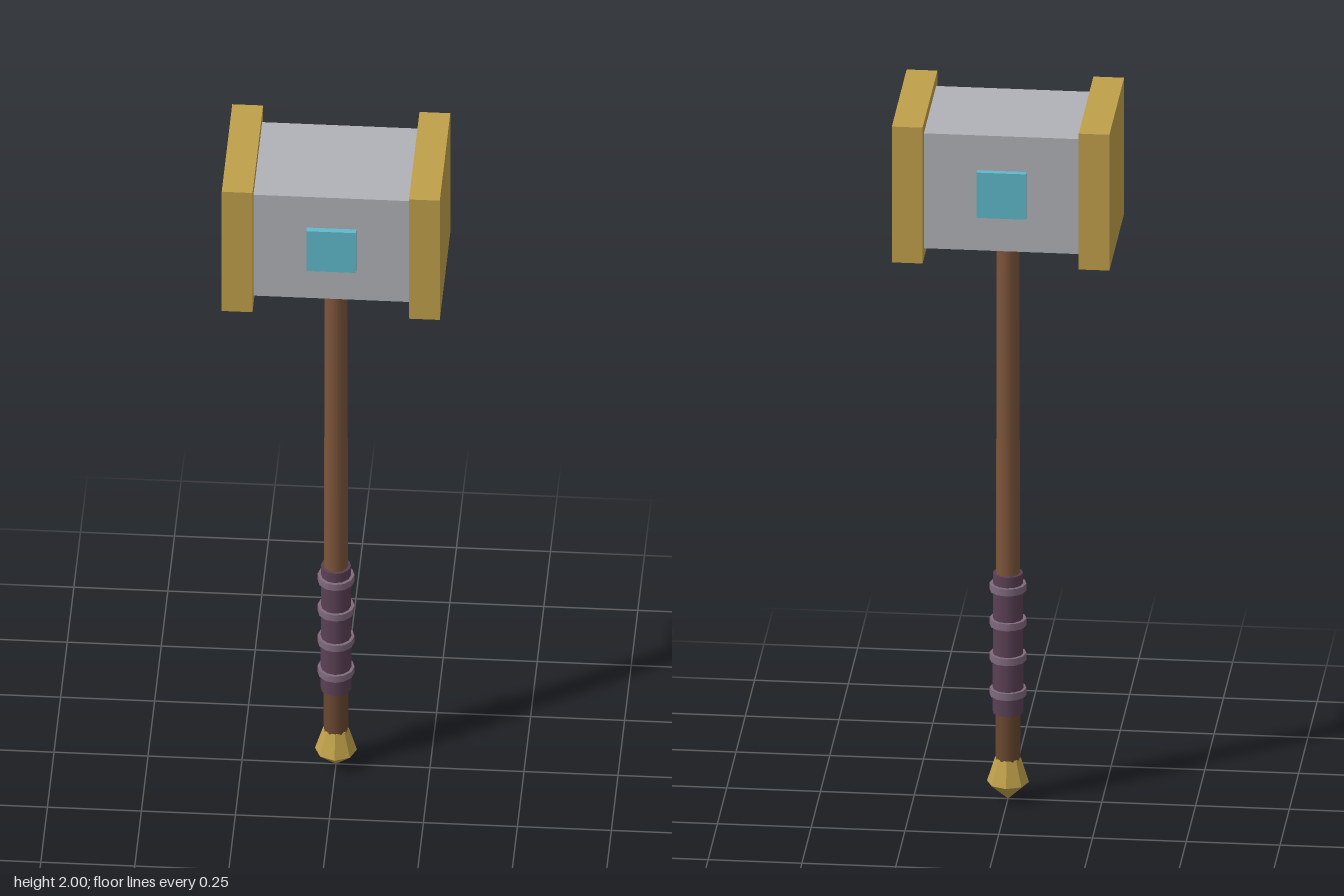
import * as THREE from 'three';

const material = (name, color) => {
  const m = new THREE.MeshStandardMaterial({ color });
  m.name = name;
  return m;
};

export function createModel() {
  const hammer = new THREE.Group();
  hammer.name = 'hammer';
  const gold = material('gold', 0xc0a04a);
  const steel = material('steel', 0xb0b2b7);
  const gemBlue = material('gemBlue', 0x5fb9cb);
  const wood = material('wood', 0x7d553b);
  const darkWood = material('darkWood', 0x694830);
  const leather = material('leather', 0x5a4054);
  const cord = material('cord', 0x806a7d);

  const add = (name, geometry, mat, x, y, z) => {
    const mesh = new THREE.Mesh(geometry, mat);
    mesh.name = name;
    mesh.position.set(x, y, z);
    hammer.add(mesh);
    return mesh;
  };
  // Upright cylinder running from y0 to y1
  const rod = (name, mat, rTop, rBottom, y0, y1) =>
    add(name, new THREE.CylinderGeometry(rTop, rBottom, y1 - y0, 12), mat, 0, (y0 + y1) / 2, 0);

  // Head block with an end plate and a gem on each side
  const headY = 1.805;
  add('headBlock', new THREE.BoxGeometry(0.42, 0.33, 0.33), steel, 0, headY, 0);
  for (const s of [1, -1]) {
    add(s > 0 ? 'leftEndPlate' : 'rightEndPlate',
      new THREE.BoxGeometry(0.082, 0.39, 0.398), gold, s * 0.249, headY, 0);
    add(s > 0 ? 'frontGem' : 'backGem',
      new THREE.BoxGeometry(0.132, 0.13, 0.022), gemBlue, 0, headY, s * 0.171);
  }

  // Shaft, tapering slightly upward, with a darker butt below the grip
  rod('shaft', wood, 0.03, 0.033, 0.25, 1.65);
  rod('shaftButt', darkWood, 0.033, 0.033, 0.115, 0.25);

  // Grip with four raised bands
  rod('grip', leather, 0.04, 0.041, 0.25, 0.65);
  for (let i = 0; i < 4; i++) {
    const y = 0.31 + i * 0.1;
    rod('gripBand', cord, 0.049, 0.049, y - 0.01, y + 0.01);
  }

  // Pointed faceted pommel
  const profile = [[0, 0], [0.056, 0.05], [0.034, 0.12], [0, 0.12]]
    .map(([r, y]) => new THREE.Vector2(r, y));
  const pommel = new THREE.LatheGeometry(profile, 8).toNonIndexed();
  pommel.computeVertexNormals();
  add('pommel', pommel, gold, 0, 0, 0);

  return hammer;
}
